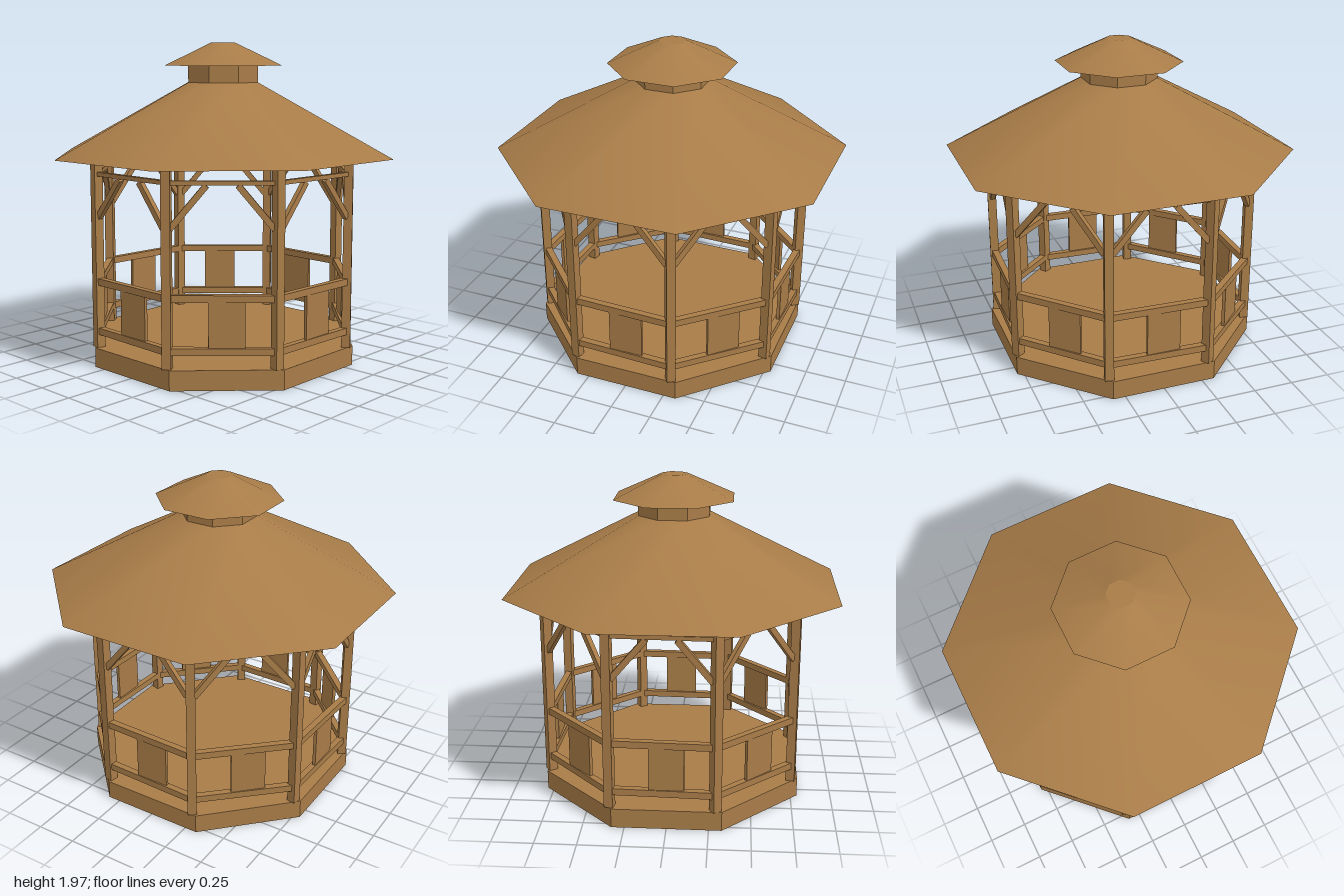
import * as THREE from 'three';

const deg = Math.PI / 180;
const STEP = 45 * deg;

export function createModel() {
  const model = new THREE.Group();
  model.name = 'gazebo';
  const wood = new THREE.MeshStandardMaterial({ color: 0xa87c48 });
  const flatWood = new THREE.MeshStandardMaterial({ color: 0xa87c48, flatShading: true });

  // Eight-sided frustum measured by the distance from its axis to its flat sides
  function octagon(name, top, bottom, y0, y1, material) {
    const k = 1 / Math.cos(22.5 * deg);
    const geo = new THREE.CylinderGeometry(top * k, bottom * k, y1 - y0, 8, 1, false, 22.5 * deg);
    const mesh = new THREE.Mesh(geo, material);
    mesh.position.y = (y0 + y1) / 2;
    mesh.name = name;
    model.add(mesh);
  }

  function box(parent, name, size, position, tilt = 0) {
    const mesh = new THREE.Mesh(new THREE.BoxGeometry(...size), wood);
    mesh.position.set(...position);
    mesh.rotation.z = tilt;
    mesh.name = name;
    parent.add(mesh);
    return mesh;
  }

  // Floor and two-tiered roof
  octagon('base', 0.79, 0.79, 0, 0.12, flatWood);
  octagon('mainRoof', 0.21, 1.0, 1.28, 1.73, wood);
  octagon('cupola', 0.215, 0.215, 1.72, 1.83, flatWood);
  octagon('cupolaRoof', 0.077, 0.36, 1.83, 1.97, wood);

  const postRadius = 0.82;
  const twist = -1.9 * deg; // the timber frame sits slightly turned on its base
  const span = 2 * postRadius * Math.sin(22.5 * deg);
  const wallZ = postRadius * Math.cos(22.5 * deg);

  for (let i = 0; i < 8; i++) {
    // Post at each corner
    const a = i * STEP + 22.5 * deg + twist;
    const post = box(model, 'post', [0.054, 1.16, 0.054],
      [postRadius * Math.sin(a), 0.70, postRadius * Math.cos(a)]);
    post.rotation.y = a + 13.4 * deg;

    // Rails and braces between neighbouring posts
    const bay = new THREE.Group();
    bay.name = 'bay';
    bay.rotation.y = i * STEP + twist;
    box(bay, 'handRail', [span, 0.042, 0.04], [0, 0.53, wallZ]);
    box(bay, 'lowerRail', [span, 0.042, 0.04], [0, 0.222, wallZ]);
    box(bay, 'topBeam', [span, 0.025, 0.03], [0, 1.188, wallZ]);
    for (const side of [-1, 1]) {
      const dx = 0.205, dy = 0.245;
      box(bay, 'brace', [Math.hypot(dx, dy), 0.036, 0.03],
        [side * (span / 2 - 0.02 - dx / 2), 1.05, wallZ], -side * Math.atan2(dy, dx));
    }
    model.add(bay);

    // Board between the two lower rails
    const infill = new THREE.Group();
    infill.name = 'infill';
    infill.rotation.y = i * STEP;
    box(infill, 'panel', [0.21, 0.29, 0.02], [0, 0.376, wallZ + 0.003]);
    model.add(infill);
  }
  return model;
}
